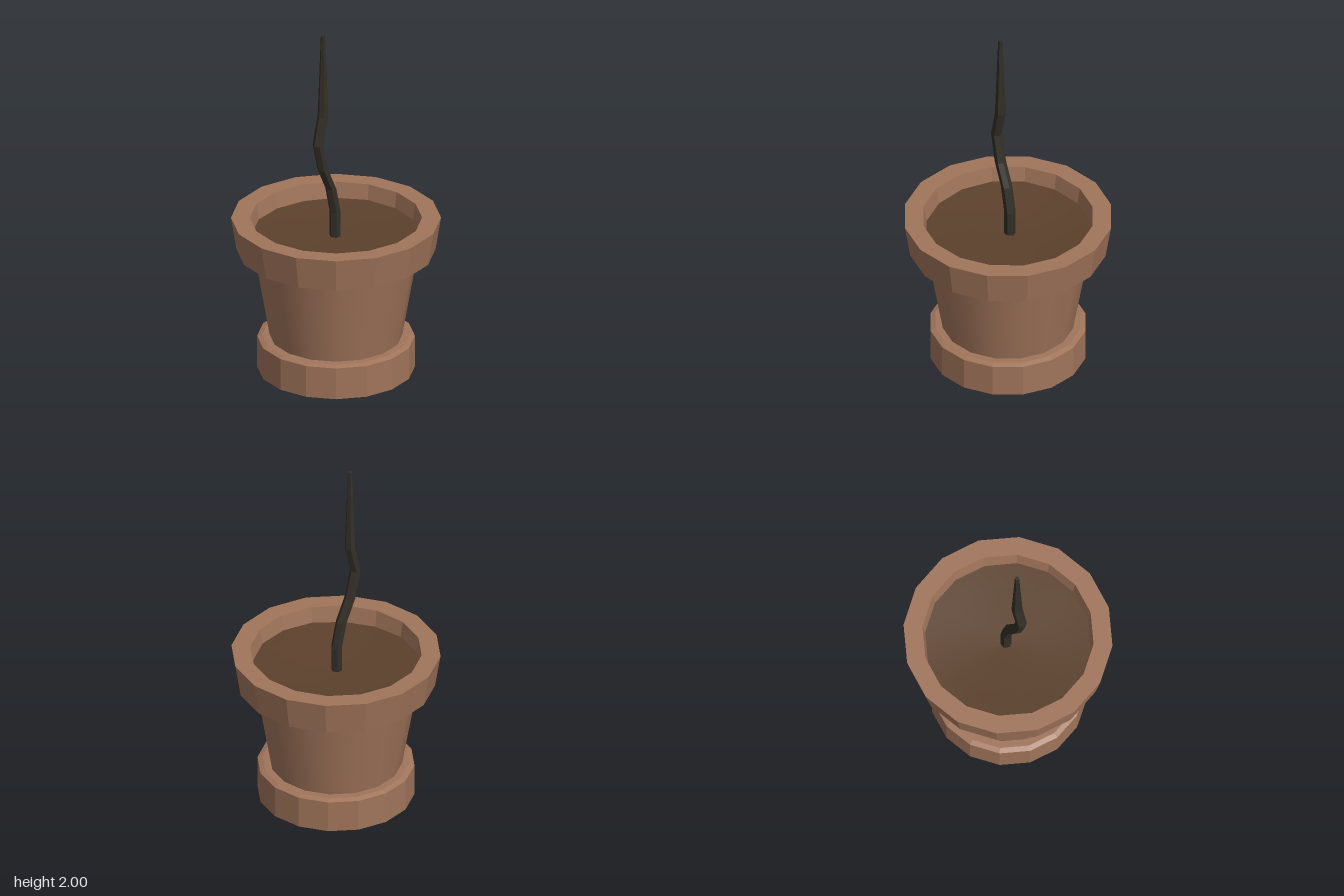
import * as THREE from 'three';

const SIDES = 16;

const terracotta = new THREE.MeshStandardMaterial({ color: 0xa0745a });
terracotta.name = 'terracotta';
const earth = new THREE.MeshStandardMaterial({ color: 0x5c412c });
earth.name = 'earth';
const darkWood = new THREE.MeshStandardMaterial({ color: 0x332e27 });
darkWood.name = 'dark wood';

// Profiles run from the underside, up the outside, then inwards
function lathe(profile) {
  return new THREE.LatheGeometry(profile.map(([r, y]) => new THREE.Vector2(r, y)), SIDES);
}

function faceted(geometry) {
  const flat = geometry.toNonIndexed();
  flat.computeVertexNormals();
  return flat;
}

// Tapering tube with level rings; each ring is [x, y, radius]
function ringTube(rings, z, sides) {
  const positions = [], index = [];
  for (const [x, y, r] of rings) {
    for (let i = 0; i < sides; i++) {
      const a = (i / sides) * Math.PI * 2;
      positions.push(x + r * Math.cos(a), y, z + r * Math.sin(a));
    }
  }
  for (let k = 0; k < rings.length - 1; k++) {
    for (let i = 0; i < sides; i++) {
      const a = k * sides + i, b = k * sides + ((i + 1) % sides);
      index.push(a, a + sides, b, b, a + sides, b + sides);
    }
  }
  // End cap
  const top = (rings.length - 1) * sides;
  for (let i = 1; i < sides - 1; i++) index.push(top, top + i + 1, top + i);
  const geometry = new THREE.BufferGeometry();
  geometry.setAttribute('position', new THREE.Float32BufferAttribute(positions, 3));
  geometry.setIndex(index);
  return faceted(geometry);
}

export function createModel() {
  const model = new THREE.Group();
  model.name = 'pottedStem';
  const add = (name, geometry, material) => {
    const mesh = new THREE.Mesh(geometry, material);
    mesh.name = name;
    model.add(mesh);
  };

  // Saucer with a shallow recess underneath
  add('saucer', faceted(lathe([
    [0, 0.035], [0.36, 0.035], [0.428, 0], [0.428, 0.183], [0.4, 0.193], [0.35, 0.193],
  ])), terracotta);

  // Smooth tapered body
  add('potBody', lathe([[0.36, 0.19], [0.447, 0.7]]), terracotta);

  // Heavy faceted rim with its inner wall
  add('potRim', faceted(lathe([
    [0.44, 0.7], [0.54, 0.7], [0.57, 0.888], [0.467, 0.888], [0.452, 0.8], [0.445, 0.74],
  ])), terracotta);

  // Soil, slightly dished and uneven
  const soil = lathe([[0.452, 0.798], [0.34, 0.79], [0.2, 0.782], [0, 0.775]]);
  const p = soil.attributes.position;
  for (let i = 0; i < p.count; i++) {
    const x = p.getX(i), z = p.getZ(i);
    p.setY(i, p.getY(i) + 0.006 * Math.sin(7 * x + 1) * Math.sin(6 * z));
  }
  soil.computeVertexNormals();
  add('soil', soil, earth);

  // Crooked bare stem
  add('stem', ringTube([
    [0.004, 0.74, 0.031], [0.004, 0.92, 0.031], [-0.03, 1.07, 0.031], [-0.09, 1.2, 0.031],
    [-0.128, 1.36, 0.03], [-0.09, 1.52, 0.03], [-0.09, 2, 0.012],
  ], -0.01, 6), darkWood);

  return model;
}
